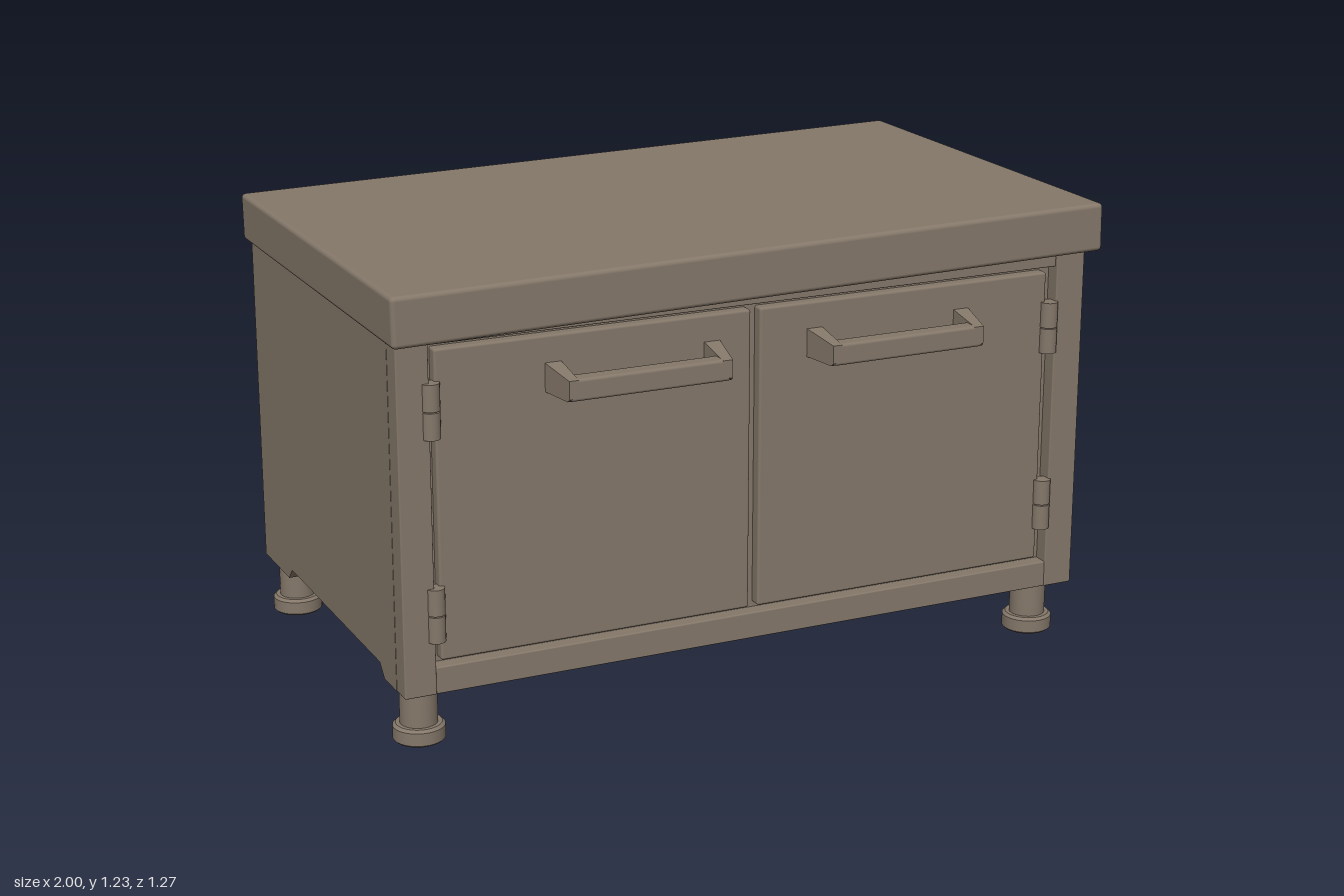
import * as THREE from 'three';
import { RoundedBoxGeometry } from 'three/addons/geometries/RoundedBoxGeometry.js';

// Extrudes a [z, y] outline along x, starting at x = 0
function extrudeAcross(outline, width) {
  const shape = new THREE.Shape(outline.map(([z, y]) => new THREE.Vector2(-z, y)));
  const geometry = new THREE.ExtrudeGeometry(shape, { depth: width, bevelEnabled: false });
  return geometry.rotateY(Math.PI / 2);
}

// Handle bracket, outer face at x = 0 leaning inwards towards the front;
// inward is the x direction (1 or -1) towards the middle of the handle
function bracketGeometry(inward) {
  const width = 0.046;
  const geometry = extrudeAcross([
    [0.51, 0.9], [0.625, 0.9], [0.634, 0.908], [0.634, 0.955], [0.51, 0.977],
  ], width);
  if (inward < 0) geometry.translate(-width, 0, 0);
  const p = geometry.attributes.position;
  for (let i = 0; i < p.count; i++) {
    if (Math.abs(p.getX(i)) < 0.001) p.setX(i, inward * (p.getZ(i) - 0.51) * 0.16);
  }
  geometry.computeVertexNormals();
  return geometry;
}

export function createModel() {
  const group = new THREE.Group();
  group.name = 'cabinet';
  const paint = new THREE.MeshStandardMaterial({ color: 0x85786a });
  paint.name = 'taupe paint';

  const add = (name, geometry, x = 0, y = 0, z = 0) => {
    const mesh = new THREE.Mesh(geometry, paint);
    mesh.name = name;
    mesh.position.set(x, y, z);
    group.add(mesh);
    return mesh;
  };
  // Softened box given by its minimum and maximum corners
  const box = (name, [x0, y0, z0], [x1, y1, z1], r = 0.004) =>
    add(name, new RoundedBoxGeometry(x1 - x0, y1 - y0, z1 - z0, 2, r),
      (x0 + x1) / 2, (y0 + y1) / 2, (z0 + z1) / 2);

  // Worktop, slightly higher at its left end
  const top = add('worktop', new RoundedBoxGeometry(1.995, 0.13, 1.21, 3, 0.012), 0, 1.151, -0.026);
  top.rotation.z = 0.0155;

  // Carcass
  const bodyTop = 1.12;
  box('floor', [-0.892, 0.155, -0.61], [0.892, 0.2, 0.515]);
  box('backPanel', [-0.892, 0.15, -0.622], [0.892, bodyTop, -0.59], 0.003);
  box('innerPanel', [-0.892, 0.19, 0.46], [0.892, bodyTop, 0.49], 0.003);
  box('bottomRail', [-0.892, 0.15, 0.48], [0.892, 0.222, 0.53]);
  box('topRail', [-0.892, 1.057, 0.48], [0.892, bodyTop, 0.523]);

  // Side panels with a shallow cut-out along the bottom edge, and front posts
  const sideGeometry = extrudeAcross([
    [-0.625, 0.15], [-0.41, 0.15], [-0.38, 0.183], [0.345, 0.183],
    [0.378, 0.15], [0.47, 0.15], [0.47, bodyTop], [-0.625, bodyTop],
  ], 0.085);
  for (const x of [-0.975, 0.89]) {
    add('sidePanel', sideGeometry, x);
    box('frontPost', [x, 0.15, 0.469], [x + 0.085, bodyTop, 0.532]);
  }

  // Doors
  box('rightDoor', [-0.873, 0.235, 0.485], [-0.016, 1.045, 0.523], 0.007);
  box('leftDoor', [0.01, 0.235, 0.485], [0.863, 1.045, 0.523], 0.007);

  // Handles: a bar on two brackets that rise towards the door
  for (const [x0, x1] of [[-0.585, -0.102], [0.143, 0.625]]) {
    add('handleBracket', bracketGeometry(1), x0);
    add('handleBracket', bracketGeometry(-1), x1);
    box('handleBar', [x0 + 0.022, 0.9, 0.585], [x1 - 0.022, 0.957, 0.634], 0.008);
  }

  // Hinges: two knuckles each
  for (const [x, y0, y1] of [
    [-0.885, 0.82, 0.965], [-0.885, 0.29, 0.435],
    [0.873, 0.822, 0.965], [0.873, 0.322, 0.465],
  ]) {
    const h = (y1 - y0) / 2;
    for (let i = 0; i < 2; i++) {
      add('hingeKnuckle', new THREE.CylinderGeometry(0.024, 0.024, h - 0.003, 20), x, y0 + h * (i + 0.5), 0.525);
    }
  }

  // Adjustable feet: stem and chamfered pad
  const stem = new THREE.CylinderGeometry(0.049, 0.049, 0.15, 28);
  const pad = new THREE.CylinderGeometry(0.068, 0.068, 0.034, 28);
  const padTop = new THREE.CylinderGeometry(0.06, 0.068, 0.007, 28);
  const padBottom = new THREE.CylinderGeometry(0.068, 0.063, 0.005, 28);
  for (const x of [-0.908, 0.896]) {
    for (const z of [0.44, -0.555]) {
      add('footStem', stem, x, 0.115, z);
      add('footPad', pad, x, 0.022, z);
      add('footPadTop', padTop, x, 0.0425, z);
      add('footPadBottom', padBottom, x, 0.0025, z);
    }
  }
  return group;
}
